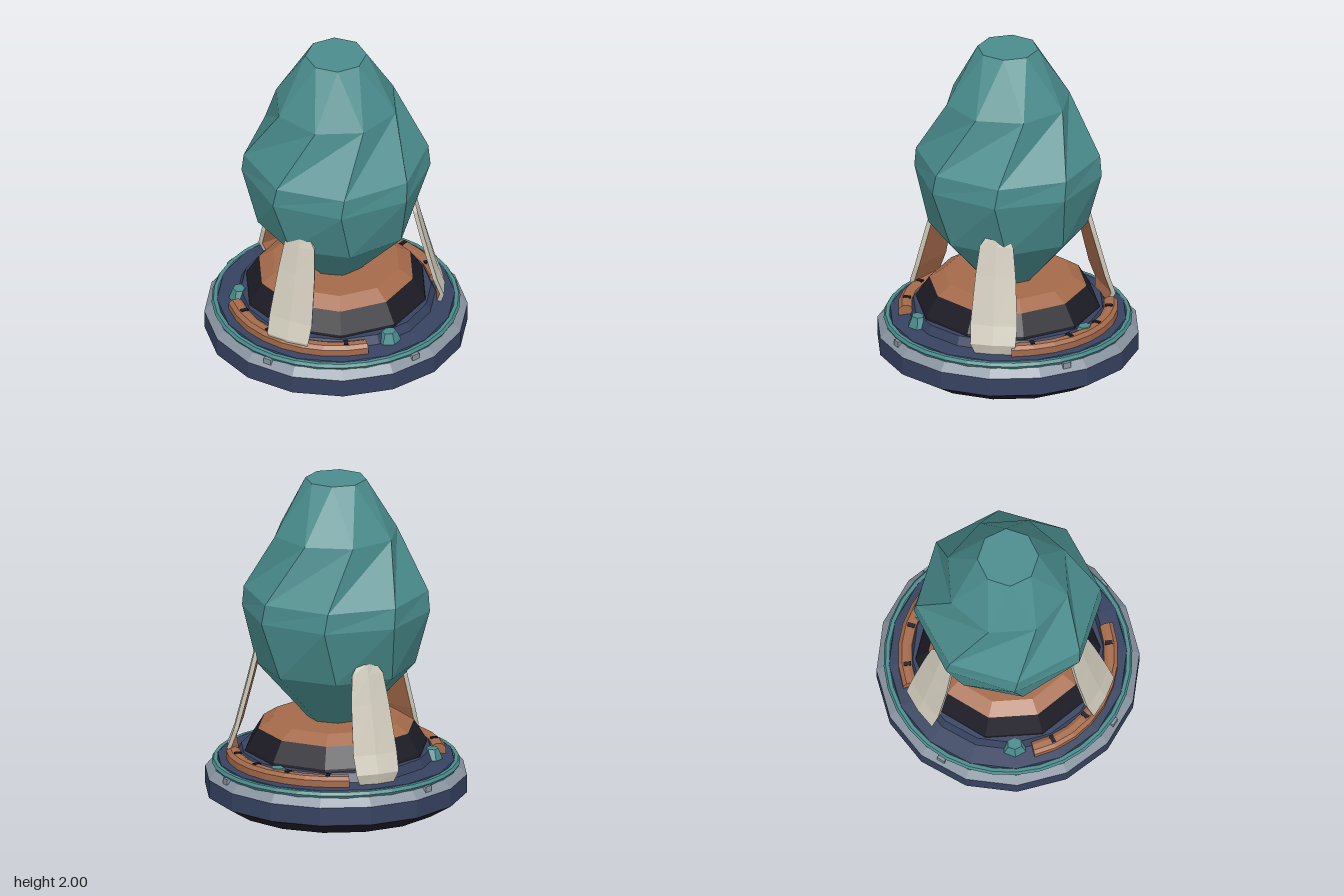
import * as THREE from 'three';

const mat = (name, color) => Object.assign(new THREE.MeshStandardMaterial({ color }), { name });
const rad = THREE.MathUtils.degToRad;

// Faceted mesh: unshared corners give one normal per face
function part(name, geometry, material, parent) {
  const g = geometry.index ? geometry.toNonIndexed() : geometry;
  g.computeVertexNormals();
  const mesh = new THREE.Mesh(g, material);
  mesh.name = name;
  parent.add(mesh);
  return mesh;
}

// Skin over equal-length rings of [x, y, z], closed at both ends.
// Faces of side number accentSide go to material 1.
function loft(rings, accentSide = -1) {
  const n = rings[0].length, main = [], accent = [];
  const tri = (out, ...pts) => pts.forEach(p => out.push(...p));
  for (let k = 0; k < rings.length - 1; k++) {
    for (let i = 0; i < n; i++) {
      const j = (i + 1) % n, out = i === accentSide ? accent : main;
      const a = rings[k][i], b = rings[k][j], c = rings[k + 1][j], d = rings[k + 1][i];
      tri(out, a, b, c);
      tri(out, a, c, d);
    }
  }
  const first = rings[0], last = rings[rings.length - 1];
  for (let i = 1; i < n - 1; i++) {
    tri(main, first[0], first[i + 1], first[i]);
    tri(main, last[0], last[i], last[i + 1]);
  }
  const g = new THREE.BufferGeometry();
  g.setAttribute('position', new THREE.Float32BufferAttribute([...main, ...accent], 3));
  g.addGroup(0, main.length / 3, 0);
  if (accent.length) g.addGroup(main.length / 3, accent.length / 3, 1);
  return g;
}

const polar = (r, y, deg) => [r * Math.sin(rad(deg)), y, r * Math.cos(rad(deg))];

export function createModel() {
  const model = new THREE.Group();
  model.name = 'crystalPedestal';

  const teal = mat('teal', 0x4a8c8d);
  const copper = mat('copper', 0xa56a4a);
  const navy = mat('navy', 0x364260);
  const black = mat('black', 0x1d1c26);
  const steel = mat('steel', 0x8a95a2);
  const bone = mat('bone', 0xcfcabb);

  // Turned base and pedestal, one band per colour
  const band = (name, material, sides, pts) =>
    part(name, new THREE.LatheGeometry(pts.map(p => new THREE.Vector2(...p)), sides), material, model);
  band('baseUnderside', black, 16, [[0, 0], [0.64, 0], [0.78, 0.085]]);
  band('baseWall', navy, 16, [[0.78, 0.085], [0.78, 0.195]]);
  band('baseRim', steel, 16, [[0.78, 0.195], [0.735, 0.245], [0.68, 0.25]]);
  band('deck', navy, 16, [[0.72, 0.24], [0.705, 0.28], [0.59, 0.292], [0.565, 0.345], [0.4, 0.35]]);
  band('pedestalWall', black, 10, [[0.55, 0.34], [0.545, 0.36], [0.47, 0.48]]);
  band('pedestalTop', copper, 10, [[0.47, 0.48], [0.385, 0.535], [0, 0.535]]);

  // Ring inlaid around the deck edge
  const ring = part('deckRing', new THREE.TorusGeometry(0.715, 0.022, 6, 32), teal, model);
  ring.rotation.x = Math.PI / 2;
  ring.position.y = 0.258;

  // Small clips on the rim
  for (const deg of [-126, -36, 36, 126]) {
    const clip = part('rimClip', new THREE.BoxGeometry(0.05, 0.035, 0.03), steel, model);
    clip.position.set(...polar(0.735, 0.233, deg));
    clip.rotation.y = rad(deg);
  }

  // Curved copper rails with dark ticks
  for (const start of [-80, 100]) {
    const sections = [];
    for (let i = 0; i <= 8; i++) {
      const deg = start + i * 94 / 8;
      sections.push([[0.652, 0.28], [0.565, 0.28], [0.572, 0.335], [0.595, 0.348], [0.63, 0.345], [0.652, 0.325]]
        .map(([r, y]) => polar(r, y, deg)));
    }
    part('rail', loft(sections), copper, model);
    for (let i = 0; i < 4; i++) {
      const deg = start + 12 + i * 23.5;
      const tick = part('railTick', new THREE.BoxGeometry(0.025, 0.009, 0.045), black, model);
      tick.position.set(...polar(0.6, 0.347, deg));
      tick.rotation.y = rad(deg);
    }
  }

  // Deck gems between the legs
  for (const deg of [-90, 30, 150]) {
    const gem = part('deckGem', new THREE.CylinderGeometry(0.045, 0.075, 0.065, 6), teal, model);
    gem.scale.z = 0.8;
    gem.position.set(...polar(0.575, 0.32, deg));
    gem.rotation.y = rad(deg);
  }

  // Three leaning legs: bone outside, copper inner face; rows of [y, radius, half width]
  const legRows = [[0.285, 0.63, 0.11], [0.35, 0.645, 0.135], [0.46, 0.605, 0.14],
    [0.75, 0.53, 0.12], [0.92, 0.49, 0.1], [0.98, 0.475, 0.06]];
  for (const deg of [-30, 90, 210]) {
    const rows = legRows.map(([y, r, w]) => [[-w, y, r - 0.012], [0, y, r], [w, y, r - 0.012],
      [w - 0.01, y, r - 0.038], [0.01 - w, y, r - 0.038]]);
    part('leg', loft(rows, 3), [bone, copper], model).rotation.y = rad(deg);
  }

  // Twisted eight-sided crystal; rows of [y, radius, twist in degrees]
  const crystalRows = [[0.5, 0.14, 12], [0.86, 0.47, 7], [1.2, 0.56, 0],
    [1.32, 0.548, 2], [1.67, 0.375, 22.5], [2, 0.182, 0]];
  const crystalRings = crystalRows.map(([y, r, twist]) =>
    Array.from({ length: 8 }, (_, i) => polar(r, y, twist + i * 45)));
  part('crystal', loft(crystalRings), teal, model);

  return model;
}
